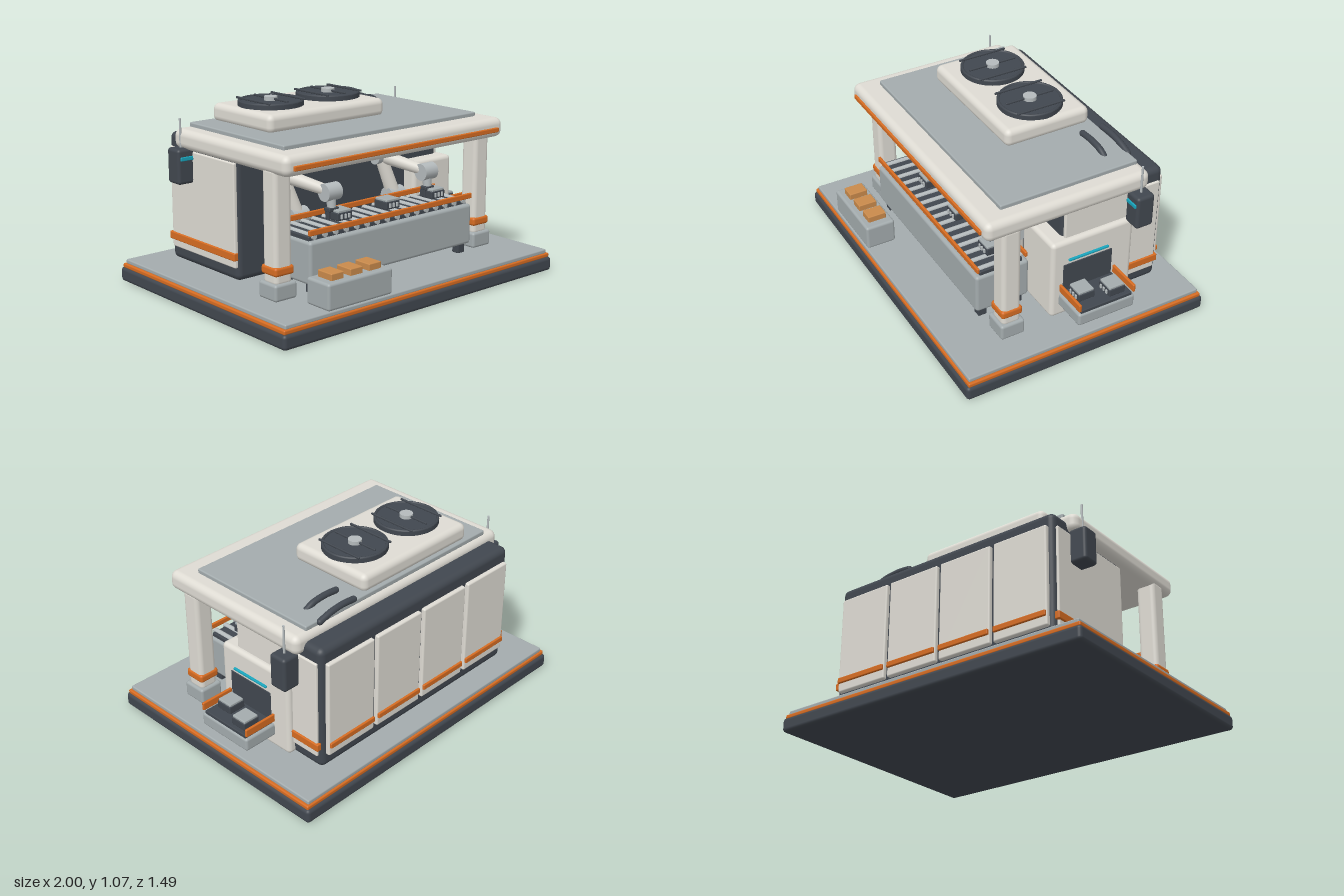
import * as THREE from 'three';
import { RoundedBoxGeometry } from 'three/addons/geometries/RoundedBoxGeometry.js';

const mat = (color) => new THREE.MeshStandardMaterial({ color });
const WHITE = mat(0xdedbd3), GREY = mat(0xa3abad), DARK = mat(0x41474f),
  ORANGE = mat(0xd66c22), TAN = mat(0xc98a4b), CYAN = mat(0x18a5bd), STEEL = mat(0xb4babc);

export function createModel() {
  const model = new THREE.Group();
  model.name = 'roboticWorkCell';

  const add = (name, geo, m, parent = model) => {
    const mesh = new THREE.Mesh(geo, m);
    mesh.name = name;
    parent.add(mesh);
    return mesh;
  };
  // Box given by its extents, with rounded edges
  const box = (name, m, [x0, x1], [y0, y1], [z0, z1], r = 0.005, parent = model) => {
    const w = x1 - x0, h = y1 - y0, d = z1 - z0;
    const mesh = add(name, new RoundedBoxGeometry(w, h, d, 3, Math.min(r, w * 0.49, h * 0.49, d * 0.49)), m, parent);
    mesh.position.set((x0 + x1) / 2, (y0 + y1) / 2, (z0 + z1) / 2);
    return mesh;
  };
  const span = (c, half) => [c - half, c + half];
  // Cylinder between two points
  const rod = (name, m, a, b, r0, r1 = r0, parent = model, sides = 24) => {
    const p = new THREE.Vector3(...a), q = new THREE.Vector3(...b);
    const dir = q.clone().sub(p);
    const mesh = add(name, new THREE.CylinderGeometry(r1, r0, dir.length(), sides), m, parent);
    mesh.position.copy(p).add(q).multiplyScalar(0.5);
    mesh.quaternion.setFromUnitVectors(new THREE.Vector3(0, 1, 0), dir.normalize());
    return mesh;
  };
  const group = (name) => {
    const g = new THREE.Group();
    g.name = name;
    model.add(g);
    return g;
  };

  // Base platform
  box('basePlinth', DARK, [-1, 1], [0, 0.082], [-0.745, 0.745], 0.02);
  box('baseTrim', ORANGE, [-0.99, 0.99], [0.078, 0.104], [-0.732, 0.732], 0.008);
  box('floorPlate', GREY, [-0.975, 0.975], [0.1, 0.127], [-0.722, 0.722], 0.008);

  // Rear cabinet with side and back panels
  box('cabinetBody', DARK, [-0.745, 0.745], [0.125, 0.86], [-0.59, 0.035], 0.035);
  for (const s of [-1, 1]) {
    box('cabinetSidePanel', WHITE, span(s * 0.745, 0.012), [0.2, 0.78], [-0.565, 0.025], 0.008);
    box('cabinetSideStripe', ORANGE, span(s * 0.752, 0.015), [0.243, 0.287], [-0.58, 0.03], 0.006);
  }
  for (let i = 0; i < 4; i++) {
    const x = (i - 1.5) * 0.363;
    box('backPanel', WHITE, span(x, 0.17), [0.207, 0.778], [-0.614, -0.58], 0.01);
    box('backStripe', ORANGE, span(x, 0.165), [0.258, 0.29], [-0.626, -0.6], 0.005);
  }

  // Roof canopy
  box('roof', WHITE, [-0.8, 0.8], [0.79, 0.902], [-0.47, 0.518], 0.04);
  box('roofPlate', GREY, [-0.705, 0.705], [0.895, 0.926], [-0.445, 0.385], 0.008);
  box('roofFrontStripe', ORANGE, [-0.75, 0.75], [0.823, 0.85], [0.51, 0.53], 0.005);

  // Front posts
  for (const s of [-1, 1]) {
    const x = s * 0.735, z = 0.363;
    box('postFoot', GREY, span(x, 0.072), [0.125, 0.217], span(z, 0.072), 0.015);
    box('post', WHITE, span(x, 0.056), [0.2, 0.82], span(z, 0.056), 0.025);
    box('postCollar', ORANGE, span(x, 0.063), [0.255, 0.305], span(z, 0.063), 0.015);
  }

  // Rooftop cooling unit with two fans
  box('coolingUnit', WHITE, [-0.565, 0.265], [0.915, 1.02], [-0.43, 0.095], 0.035);
  for (const x of [-0.352, 0.062]) {
    const fan = group('coolingFan');
    fan.position.set(x, 1.015, -0.167);
    rod('fanDisc', DARK, [0, 0, 0], [0, 0.03, 0], 0.183, 0.183, fan, 48);
    const rim = add('fanRim', new THREE.TorusGeometry(0.174, 0.009, 8, 48), DARK, fan);
    rim.rotation.x = Math.PI / 2;
    rim.position.y = 0.028;
    rod('fanHub', STEEL, [0, 0.02, 0], [0, 0.052, 0], 0.038, 0.038, fan);
    for (const dx of [-0.122, 0, 0.122])
      box('fanGuardBar', DARK, span(dx, 0.006), [0.034, 0.046], [-0.15, 0.15], 0.004, fan);
  }

  // Cable hoses on the roof
  for (const [z, end] of [[-0.448, 0.61], [-0.32, 0.58]]) {
    const path = new THREE.CatmullRomCurve3([[0.365, 0.942], [0.44, 0.947], [0.53, 0.938], [end, 0.915]]
      .map(([x, y]) => new THREE.Vector3(x, y, z)));
    add('roofHose', new THREE.TubeGeometry(path, 24, 0.018, 12), DARK);
    const cap = add('hoseEnd', new THREE.SphereGeometry(0.018, 12, 8), DARK);
    cap.position.set(0.365, 0.942, z);
    const cap2 = add('hoseEnd', new THREE.SphereGeometry(0.018, 12, 8), DARK);
    cap2.position.set(end, 0.915, z);
  }

  // Signal boxes with antennas
  for (const x of [-0.797, 0.815]) {
    box('signalBox', DARK, span(x, 0.054), [0.605, 0.803], [-0.455, -0.346], 0.018);
    box('signalLight', CYAN, span(x, 0.04), [0.738, 0.76], [-0.35, -0.338], 0.004);
    rod('antenna', STEEL, [x, 0.79, -0.4], [x, 0.965, -0.4], 0.007, 0.006, model, 12);
  }

  // Conveyor
  box('conveyorBody', GREY, [-0.605, 0.6], [0.18, 0.415], [0.147, 0.47], 0.018);
  box('conveyorBed', DARK, [-0.59, 0.585], [0.405, 0.437], [0.18, 0.44], 0.005);
  for (const z of [0.167, 0.459])
    box('conveyorRail', ORANGE, [-0.605, 0.605], [0.447, 0.478], span(z, 0.008), 0.005);
  for (let i = 0; i < 16; i++) {
    const x = -0.56 + i * 0.0743;
    rod('roller', STEEL, [x, 0.435, 0.172], [x, 0.435, 0.453], 0.015, 0.015, model, 14);
  }
  for (const x of [-0.55, 0.55]) for (const z of [0.2, 0.42])
    box('conveyorFoot', DARK, span(x, 0.025), [0.125, 0.19], span(z, 0.025));

  // Electronic units carried on the belts
  const unit = (x, y, z) => {
    const g = group('workpiece');
    g.position.set(x, y, z);
    box('workpieceBody', DARK, span(0, 0.052), [0, 0.045], span(0, 0.05), 0.006, g);
    box('workpieceLid', GREY, span(0, 0.047), [0.04, 0.057], span(0, 0.047), 0.005, g);
    for (const dx of [-0.026, 0, 0.026])
      box('workpiecePin', STEEL, span(dx, 0.006), [0.01, 0.035], [0.045, 0.058], 0.002, g);
  };
  for (const x of [-0.26, 0.095, 0.45]) unit(x, 0.45, 0.3);

  // Robot arms: pedestal, lower arm, forearm, wrist and gripper
  for (const x of [-0.38, 0.345]) {
    const arm = group('robotArm');
    arm.position.x = x;
    const shoulder = [0, 0.44, 0.09], elbow = [-0.08, 0.68, 0.06], wrist = [0.08, 0.6, 0.275];
    rod('armPedestal', DARK, [0, 0.125, 0.1], [0, 0.18, 0.1], 0.085, 0.08, arm);
    rod('armColumn', WHITE, [0, 0.17, 0.09], shoulder, 0.055, 0.05, arm);
    rod('lowerArm', WHITE, shoulder, elbow, 0.042, 0.036, arm);
    rod('forearm', WHITE, elbow, wrist, 0.04, 0.03, arm);
    for (const [p, r, h] of [[shoulder, 0.052, 0.055], [elbow, 0.046, 0.05], [wrist, 0.049, 0.048]])
      rod('armJoint', STEEL, [p[0] - h, p[1], p[2]], [p[0] + h, p[1], p[2]], r, r, arm);
    rod('wristLink', STEEL, wrist, [0.08, 0.515, 0.285], 0.03, 0.024, arm);
    box('gripperPalm', DARK, span(0.08, 0.035), [0.495, 0.518], span(0.285, 0.024), 0.006, arm);
    for (const s of [-1, 1])
      box('gripperFinger', DARK, span(0.08 + s * 0.027, 0.007), [0.455, 0.5], span(0.285, 0.015), 0.003, arm);
  }

  // Side outfeed module
  box('outfeedHousing', WHITE, [0.48, 0.787], [0.13, 0.62], [-0.39, 0.12], 0.025);
  box('outfeedOpening', DARK, [0.74, 0.791], [0.27, 0.47], [-0.257, 0.05], 0.004);
  box('outfeedLight', CYAN, [0.775, 0.799], [0.49, 0.503], [-0.23, 0.02], 0.004);
  box('outfeedTray', GREY, [0.76, 0.988], [0.205, 0.283], [-0.28, 0.072], 0.015);
  box('outfeedBelt', DARK, [0.77, 0.98], [0.275, 0.3], [-0.265, 0.055], 0.005);
  for (const z of [0.063, -0.275])
    box('outfeedRail', ORANGE, [0.785, 0.987], [0.3, 0.346], span(z, 0.008), 0.005);
  unit(0.907, 0.3, -0.185);
  unit(0.862, 0.3, -0.022);

  // Parts bin with cartons in front
  box('partsBin', GREY, [-0.692, -0.252], [0.125, 0.27], [0.54, 0.717], 0.015);
  for (const x of [-0.6, -0.472, -0.344])
    box('carton', TAN, span(x, 0.042), [0.26, 0.306], [0.57, 0.68], 0.005);

  return model;
}
